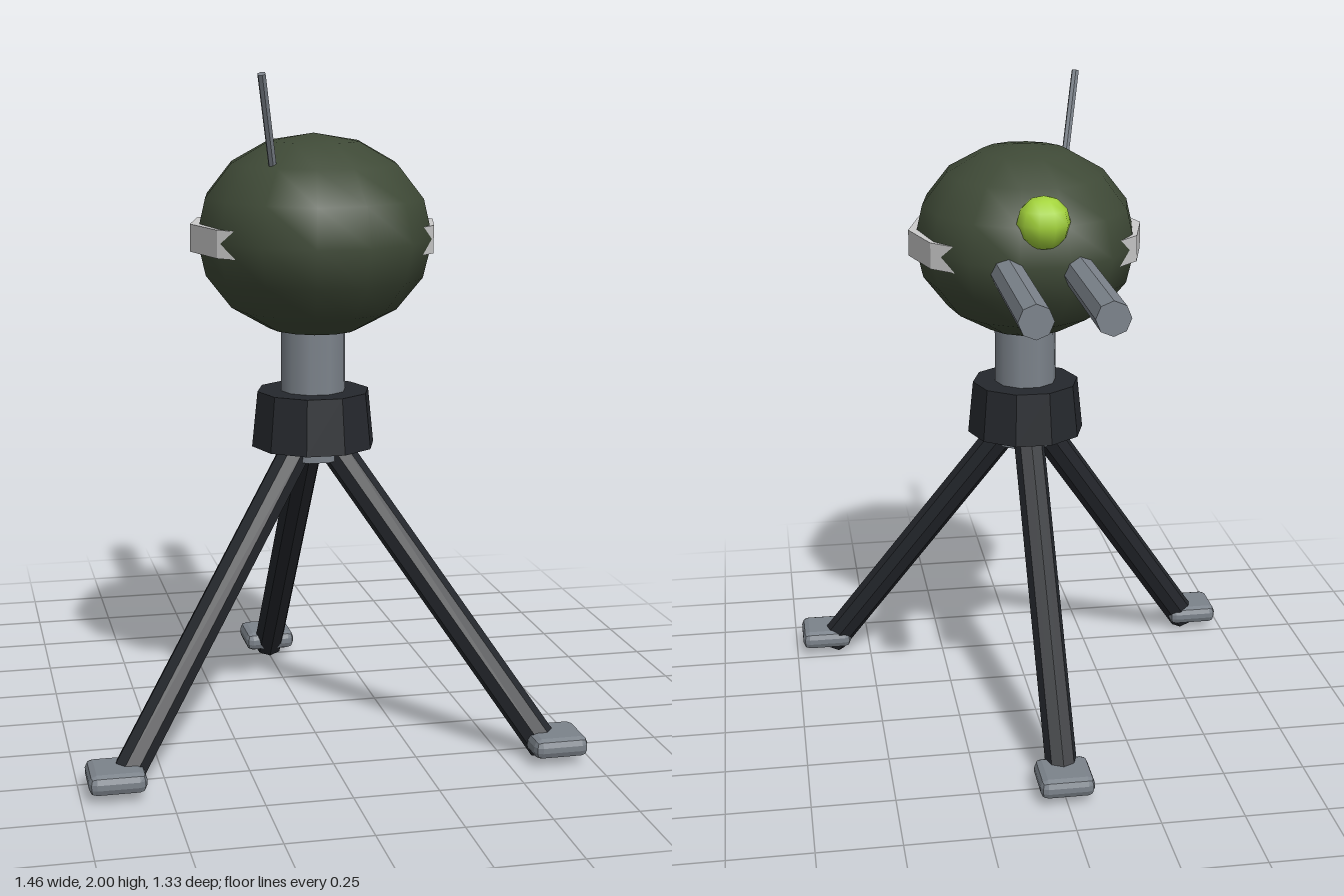
import * as THREE from 'three';
import { RoundedBoxGeometry } from 'three/addons/geometries/RoundedBoxGeometry.js';

const AXIS_Z = 0.21; // the head, neck and tripod share this vertical axis

const paint = (color, flatShading = false) => new THREE.MeshStandardMaterial({ color, flatShading });

export function createModel() {
  const model = new THREE.Group();
  const green = paint(0x3f4a37);
  const steel = paint(0x7c838b, true);
  const smoothSteel = paint(0x7c838b);
  const dark = paint(0x25282d, true);
  const white = paint(0xcccccc, true);
  const lime = paint(0xa4d43c);

  const add = (name, geometry, material, x, y, z) => {
    const mesh = new THREE.Mesh(geometry, material);
    mesh.name = name;
    mesh.position.set(x, y, z);
    model.add(mesh);
    return mesh;
  };

  // Straight rod between two points
  const rod = (name, from, to, radius, sides, material) => {
    const dir = to.clone().sub(from);
    const mid = from.clone().add(to).multiplyScalar(0.5);
    const mesh = add(name, new THREE.CylinderGeometry(radius, radius, dir.length(), sides), material, mid.x, mid.y, mid.z);
    mesh.quaternion.setFromUnitVectors(new THREE.Vector3(0, 1, 0), dir.normalize());
    return mesh;
  };
  const V = (x, y, z) => new THREE.Vector3(x, y, z);

  // Egg-shaped head
  add('head', new THREE.SphereGeometry(1, 14, 8), green, 0, 1.525, AXIS_Z).scale.set(0.345, 0.295, 0.41);

  // Pale band that breaks the surface on both sides of the head
  add('sideBand', new THREE.CylinderGeometry(0.363, 0.363, 0.08, 12), white, 0, 1.523, AXIS_Z - 0.005);

  // Sensor eye
  add('sensorEye', new THREE.SphereGeometry(0.08, 10, 6), lime, 0, 1.65, -0.145);

  // Twin barrels
  for (const side of [-1, 1]) {
    rod(side > 0 ? 'leftBarrel' : 'rightBarrel',
      V(side * 0.105, 1.5, -0.05), V(side * 0.105, 1.5, -0.665), 0.05, 8, steel);
  }

  // Antenna
  rod('antenna', V(-0.153, 1.72, 0.386), V(-0.207, 1.995, 0.497), 0.012, 6, steel);

  // Neck running down through the collar
  add('neck', new THREE.CylinderGeometry(0.097, 0.097, 0.44, 10), smoothSteel, 0, 1.08, AXIS_Z).rotation.y = Math.PI / 2;
  add('collar', new THREE.CylinderGeometry(0.168, 0.185, 0.165, 10), dark, 0, 0.982, AXIS_Z).rotation.y = Math.PI / 2;

  // Tripod legs with square chamfered feet
  const names = ['back', 'left', 'right'];
  names.forEach((name, i) => {
    const angle = Math.PI + i * Math.PI * 2 / 3 * 1;
    // sin/cos give the outward direction of each leg; the first points to -z
    const sx = Math.sin(angle) * (i === 0 ? 0 : -1) * (Math.sin(angle) > 0 === (name === 'left') ? -1 : 1);
    const cz = Math.cos(angle);
    rod(name + 'Leg', V(sx * 0.02, 0.955, AXIS_Z + cz * 0.02),
      V(sx * 0.722, 0.03, AXIS_Z + cz * 0.722), 0.048, 8, dark);
    add(name + 'Foot', new RoundedBoxGeometry(0.163, 0.06, 0.163, 1, 0.022), steel,
      sx * 0.748, 0.055, AXIS_Z + cz * 0.748);
  });

  return model;
}
